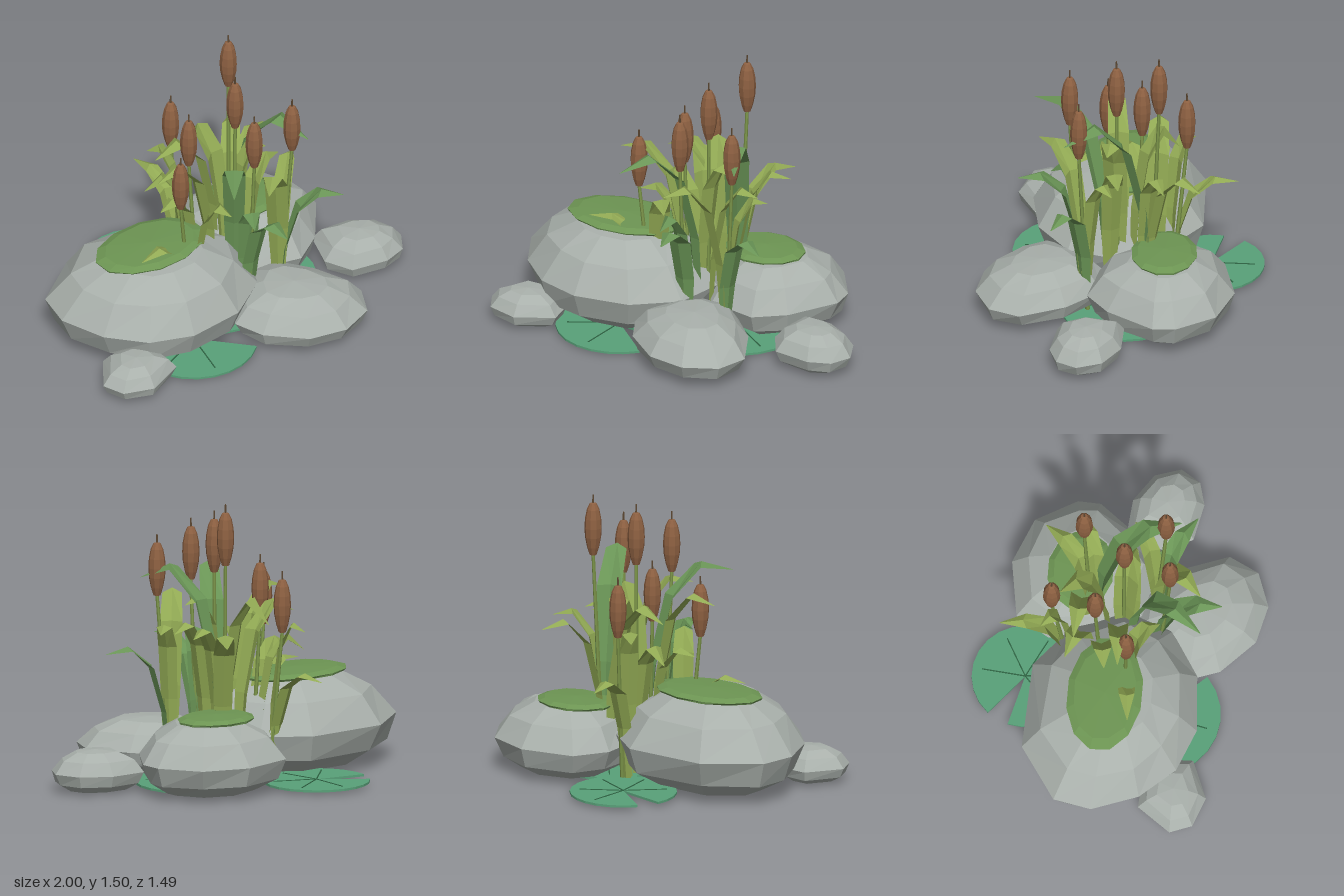
import * as THREE from 'three';

const mat = (name, color, side = THREE.FrontSide) => {
  const m = new THREE.MeshStandardMaterial({ color, side });
  m.name = name;
  return m;
};

// Separate every face so the shading is faceted
function faceted(geo) {
  const g = geo.index ? geo.toNonIndexed() : geo;
  g.computeVertexNormals();
  return g;
}

// Scale a closed x/z outline through [y, scale] levels
function loft(outline, levels, wobble) {
  const n = outline.length, pos = [], idx = [];
  levels.forEach(([y, s], i) => outline.forEach(([x, z], j) => {
    const w = s > 0 && s < 1 ? 1 + wobble * Math.sin(j * 2.3 + i * 1.7) : 1;
    pos.push(x * s * w, y, z * s * w);
  }));
  for (let i = 0; i < levels.length - 1; i++) {
    for (let j = 0; j < n; j++) {
      const a = i * n + j, b = i * n + (j + 1) % n;
      idx.push(a, a + n, b, b, a + n, b + n);
    }
  }
  const g = new THREE.BufferGeometry();
  g.setAttribute('position', new THREE.Float32BufferAttribute(pos, 3));
  g.setIndex(idx);
  return faceted(g);
}

const ellipse = (rx, rz, n) => Array.from({ length: n }, (_, i) => {
  const a = 0.2 + i / n * Math.PI * 2;
  return [rx * Math.cos(a), rz * Math.sin(a)];
});

// Creased blade that rises, arches over and ends in a point
function bladeGeometry(bx, bz, tx, tz, tipY, peakY, width) {
  const dx = tx - bx, dz = tz - bz, len = Math.hypot(dx, dz);
  const sx = -dz / len, sz = dx / len;
  const along = [0, 0.08, 0.27, 0.6, 1];
  const height = [0.03, 0.5 * peakY, 0.84 * peakY, peakY, tipY];
  const half = [0.25, 0.48, 0.55, 0.46, 0.02];
  const pos = [], idx = [];
  along.forEach((t, i) => {
    const x = bx + dx * t, z = bz + dz * t, h = half[i] * width, fold = h * 0.42;
    const inX = dx / len * fold, inZ = dz / len * fold;
    const drop = i > 2 ? fold : 0;
    pos.push(x - sx * h, height[i] - drop, z - sz * h);
    pos.push(x + inX, height[i], z + inZ);
    pos.push(x + sx * h, height[i] - drop, z + sz * h);
    if (i) {
      for (let j = 0; j < 2; j++) {
        const a = (i - 1) * 3 + j;
        idx.push(a, a + 1, a + 3, a + 1, a + 4, a + 3);
      }
    }
  });
  const g = new THREE.BufferGeometry();
  g.setAttribute('position', new THREE.Float32BufferAttribute(pos, 3));
  g.setIndex(idx);
  return faceted(g);
}

export function createModel() {
  const model = new THREE.Group();
  model.name = 'pondRocksWithCattails';
  const stone = mat('stone grey', 0xa9b0ab);
  const moss = mat('moss green', 0x6d9553);
  const padGreen = mat('lily pad green', 0x59a179);
  const veinGreen = mat('vein dark green', 0x2f6544);
  const light = mat('olive leaf', 0x92aa54, THREE.DoubleSide);
  const mid = mat('deep leaf', 0x6a9556, THREE.DoubleSide);
  const stemGreen = mat('stem green', 0x7b9449);
  const brown = mat('seed head brown', 0x8e6142);
  const dark = mat('spike brown', 0x5f4a34);

  const add = (parent, name, geo, material, x = 0, y = 0, z = 0) => {
    const m = new THREE.Mesh(geo, material);
    m.name = name;
    m.position.set(x, y, z);
    parent.add(m);
    return m;
  };

  // Boulders: centre x, z, height, outline
  const rocks = [
    ['largeRock', -0.42, 0.02, 0.515, [[0.55, 0], [0.47, 0.25], [0.24, 0.41], [-0.06, 0.445], [-0.29, 0.365],
      [-0.46, 0.19], [-0.56, -0.05], [-0.53, -0.25], [-0.26, -0.45], [0.2, -0.45], [0.42, -0.28]]],
    ['backRock', 0.34, -0.23, 0.385, [[0.39, 0.04], [0.22, 0.28], [0.06, 0.39], [-0.2, 0.33], [-0.36, 0.12],
      [-0.38, -0.14], [-0.28, -0.32], [0.015, -0.38], [0.26, -0.29], [0.39, -0.08]]],
    ['frontRock', 0.19, 0.4, 0.28, [[0.35, 0.11], [0.28, 0.27], [0.1, 0.345], [-0.105, 0.305], [-0.29, 0.14],
      [-0.355, -0.02], [-0.28, -0.22], [-0.1, -0.34], [0.08, -0.32], [0.25, -0.13]]],
    ['smallLeftRock', 0.77, 0.155, 0.22, [[0.23, 0.045], [0.17, 0.15], [0.05, 0.188], [-0.15, 0.155],
      [-0.228, 0.01], [-0.17, -0.195], [0.03, -0.185], [0.18, -0.09]]],
    ['smallRightRock', -0.79, 0.38, 0.185, [[0.2, 0.08], [0, 0.172], [-0.16, 0.12], [-0.21, 0.005],
      [-0.09, -0.175], [0.06, -0.17], [0.19, -0.07]]],
  ];
  const rockProfile = [[0, 0], [0, 0.36], [0.04, 0.62], [0.21, 0.9], [0.48, 1], [0.78, 0.78], [0.96, 0.46], [1, 0]];
  for (const [name, x, z, h, outline] of rocks) {
    add(model, name, loft(outline, rockProfile.map(([y, s]) => [y * h, s]), 0.025), stone, x, 0, z);
  }

  // Moss caps on the two tallest rocks
  const mossProfile = [[0, 0], [0, 0.97], [0.012, 1], [0.028, 0.82], [0.036, 0]];
  add(model, 'largeMoss', loft(ellipse(0.32, 0.2, 12), mossProfile, 0.02), moss, -0.43, 0.495, -0.025);
  add(model, 'backMoss', loft(ellipse(0.22, 0.175, 12), mossProfile, 0.02), moss, 0.28, 0.37, -0.24);

  // Notched lily pads with radial veins: x, z, radius, top height, notch angles
  const pads = [
    [-0.21, -0.47, 0.28, 0.028, 192, 217],
    [-0.33, 0.235, 0.335, 0.018, 15, 45],
    [0.23, -0.03, 0.33, 0.015, 150, 175],
  ];
  for (const [x, z, r, top, n0, n1] of pads) {
    const pad = new THREE.Group();
    pad.name = 'lilyPad';
    pad.position.set(x, top, z);
    const start = n1 * Math.PI / 180, sweep = (360 - n1 + n0) * Math.PI / 180;
    const shape = new THREE.Shape();
    shape.moveTo(0, 0);
    for (let i = 0; i <= 22; i++) {
      const a = start + sweep * i / 22;
      shape.lineTo(r * Math.cos(a), r * Math.sin(a));
    }
    const geo = new THREE.ExtrudeGeometry(shape, { depth: 0.012, bevelEnabled: false });
    geo.rotateX(Math.PI / 2);
    add(pad, 'padDisc', geo, padGreen);
    for (let i = 1; i <= 5; i++) {
      const vein = new THREE.BoxGeometry(r * 0.82, 0.003, 0.006).translate(r * 0.41, 0.0015, 0);
      add(pad, 'padVein', vein, veinGreen).rotation.y = -(start + sweep * i / 6);
    }
    model.add(pad);
  }

  // Cattails: head x, z and tip height
  const cattails = [
    [0.19, -0.21, 1.505], [0.08, 0.015, 1.42], [0.035, 0.26, 1.335], [0.31, 0.205, 1.295],
    [-0.3, 0.07, 1.085], [-0.125, -0.113, 1.18], [-0.08, -0.348, 1.135],
  ];
  const headProfile = [[0, 0], [0.019, 0.004], [0.032, 0.045], [0.043, 0.1], [0.046, 0.15], [0.043, 0.2], [0.033, 0.25], [0.018, 0.282], [0, 0.287]]
    .map(p => new THREE.Vector2(...p));
  const headGeo = faceted(new THREE.LatheGeometry(headProfile, 9));
  const spikeGeo = faceted(new THREE.CylinderGeometry(0.004, 0.006, 0.06, 5));
  const up = new THREE.Vector3(0, 1, 0);
  for (const [x, z, tip] of cattails) {
    const cattail = new THREE.Group();
    cattail.name = 'cattail';
    const low = new THREE.Vector3(0.05 + (x - 0.05) * 0.78, 0.01, z * 0.78);
    const high = new THREE.Vector3(x, tip - 0.32, z);
    const dir = high.clone().sub(low), c = low.clone().add(high).multiplyScalar(0.5);
    const stem = faceted(new THREE.CylinderGeometry(0.009, 0.013, dir.length(), 6));
    add(cattail, 'stem', stem, stemGreen, c.x, c.y, c.z).quaternion.setFromUnitVectors(up, dir.normalize());
    add(cattail, 'seedHead', headGeo, brown, x, tip - 0.33, z);
    add(cattail, 'spike', spikeGeo, dark, x, tip - 0.03, z);
    model.add(cattail);
  }

  // Blades: base x, z, tip x, z, tip height, peak height, width, colour
  const blades = [
    [-0.08, -0.27, -0.13, -0.615, 0.575, 0.61, 0.09, light],
    [0.16, -0.15, 0.36, -0.43, 0.79, 0.84, 0.1, light],
    [0.16, -0.13, 0.43, -0.24, 0.82, 0.86, 0.09, light],
    [0.16, -0.16, 0.36, 0.28, 1.06, 1.15, 0.12, mid],
    [0.25, 0.17, 0.54, 0.345, 0.66, 0.7, 0.1, mid],
    [0.25, 0.17, 0.02, 0.42, 0.92, 0.96, 0.11, light],
    [0.25, 0.17, 0.43, 0.03, 0.8, 0.84, 0.09, light],
    [0.04, 0.19, 0.06, 0.53, 0.69, 0.72, 0.11, mid],
    [0.05, 0.05, -0.22, 0.45, 1.02, 1.08, 0.11, mid],
    [-0.22, 0.06, -0.57, 0.11, 0.54, 0.57, 0.09, light],
    [-0.05, 0, -0.42, 0.04, 0.95, 1, 0.1, light],
    [-0.1, -0.09, -0.35, -0.04, 0.68, 0.72, 0.1, light],
    [-0.06, -0.16, -0.31, -0.25, 0.67, 0.76, 0.1, light],
    [-0.07, -0.25, -0.2, -0.39, 0.8, 0.85, 0.09, light],
    [0.08, -0.06, -0.02, -0.31, 0.85, 0.99, 0.12, light],
    [0.04, 0.01, 0.24, 0.06, 0.93, 0.98, 0.12, light],
    [0.1, -0.19, -0.27, -0.21, 0.88, 0.96, 0.11, light],
    [0.1, 0.05, 0.36, 0, 0.8, 0.85, 0.1, light],
    [0.04, 0.18, -0.03, 0.36, 0.68, 0.75, 0.1, mid],
    [-0.2, 0.05, -0.08, 0.22, 0.7, 0.76, 0.1, light],
  ];
  for (const [bx, bz, tx, tz, tipY, peakY, w, material] of blades) {
    add(model, 'leafBlade', bladeGeometry(bx, bz, tx, tz, tipY, peakY, w), material);
  }
  return model;
}
